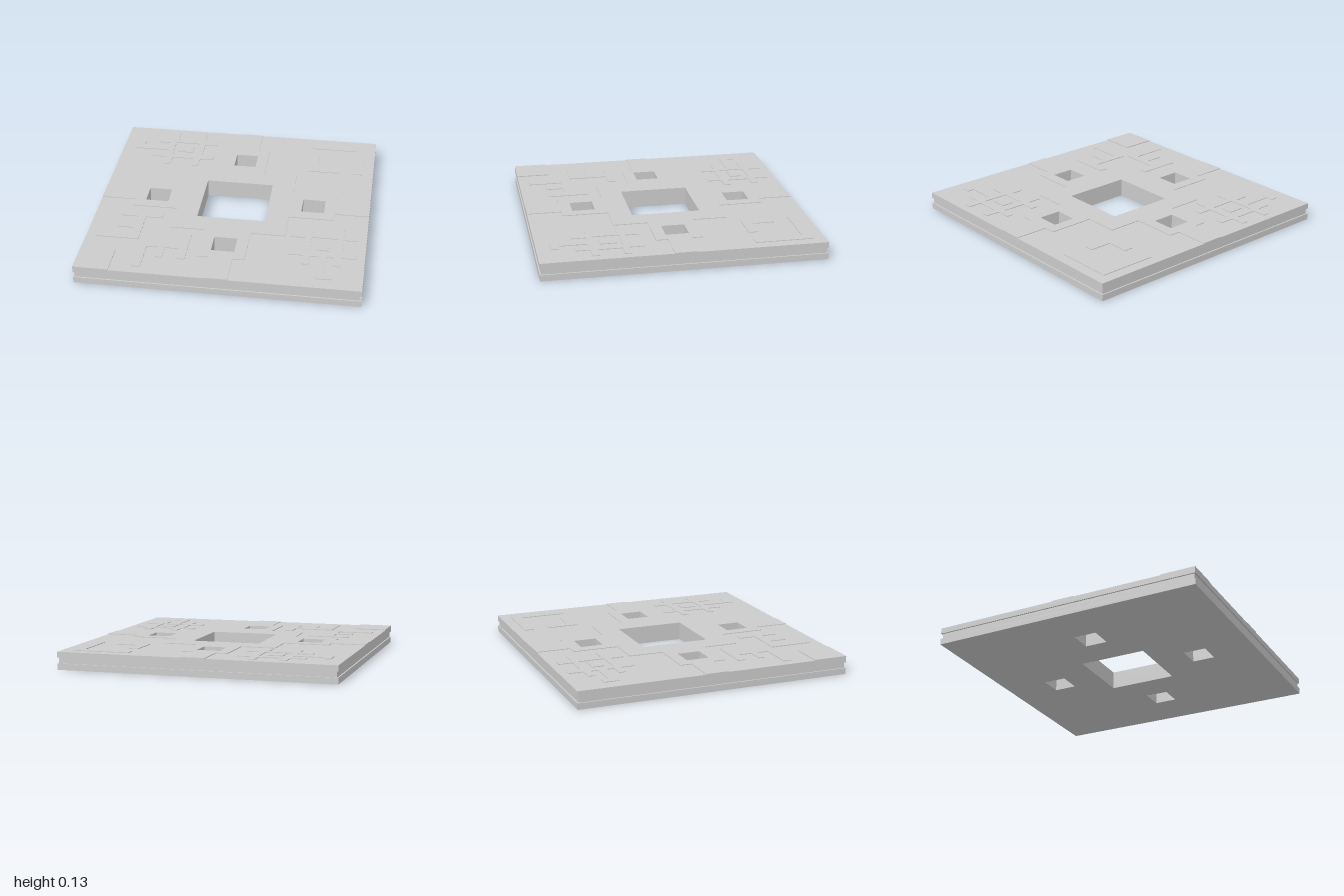
import * as THREE from 'three';

const material = new THREE.MeshStandardMaterial({ color: 0xcccccc, flatShading: true });
const liningMaterial = new THREE.MeshStandardMaterial({ color: 0xcccccc, flatShading: true, side: THREE.DoubleSide });
const U = 1 / 12; // layout module

const points = (list) => list.map(([x, z]) => new THREE.Vector2(x, -z));
const square = (h, cx = 0, cz = 0) => [[cx - h, cz - h], [cx + h, cz - h], [cx + h, cz + h], [cx - h, cz + h]];

// Horizontal slab from an (x, z) outline with holes, between two heights
function slab(name, outline, holes, y0, y1) {
  const shape = new THREE.Shape(points(outline).reverse());
  for (const h of holes) shape.holes.push(new THREE.Path(points(h)));
  const geometry = new THREE.ExtrudeGeometry(shape, { depth: y1 - y0, bevelEnabled: false });
  geometry.rotateX(-Math.PI / 2);
  geometry.translate(0, y0, 0);
  const mesh = new THREE.Mesh(geometry, material);
  mesh.name = name;
  return mesh;
}

// Four smooth walls lining a square opening
function lining(name, half, x, z, height) {
  const r = (half - 0.0005) * Math.SQRT2;
  const geometry = new THREE.CylinderGeometry(r, r, height, 4, 1, true);
  geometry.rotateY(Math.PI / 4);
  geometry.translate(x, height / 2, z);
  const mesh = new THREE.Mesh(geometry, liningMaterial);
  mesh.name = name;
  return mesh;
}

// Group of low raised bars, each [x0, x1, z0, z1]
function relief(name, bars, y0, y1) {
  const group = new THREE.Group();
  group.name = name;
  for (const [x0, x1, z0, z1] of bars) {
    const mesh = new THREE.Mesh(new THREE.BoxGeometry(x1 - x0, y1 - y0, z1 - z0), material);
    mesh.position.set((x0 + x1) / 2, (y0 + y1) / 2, (z0 + z1) / 2);
    mesh.name = 'reliefBar';
    group.add(mesh);
  }
  return group;
}

// Reflection across the diagonal that swaps the two matching quadrants
const mirror = (bars) => bars.map(([x0, x1, z0, z1]) => [-z1, -z0, -x1, -x0]);

export function createModel() {
  const model = new THREE.Group();
  model.name = 'squarePlaza';
  const top = 0.128, raised = 0.133;

  const centres = [[7 * U, 0], [-7 * U, 0], [0, 7 * U], [0, -7 * U]];
  const holes = [square(0.25), ...centres.map(([x, z]) => square(U, x, z))];

  // Three stacked plates, the middle one set back to form a groove
  model.add(slab('lowerPlate', square(1), holes, 0, 0.045));
  model.add(slab('middlePlate', square(0.99), holes, 0.045, 0.086));
  model.add(slab('upperPlate', square(1), holes, 0.086, top));

  // Walls of the openings
  model.add(lining('centreOpeningWalls', 0.25, 0, 0, top));
  for (const [x, z] of centres) model.add(lining('smallOpeningWalls', U, x, z, raised));

  // Raised cross path, stepped around the openings: one arm turned four times
  const arm = [
    [5 * U, -2 * U], [9 * U, -2 * U], [9 * U, -U], [1, -U],
    [1, U], [9 * U, U], [9 * U, 2 * U], [5 * U, 2 * U], [5 * U, 5 * U],
  ];
  const outline = [];
  for (let i = 0; i < 4; i++) {
    const c = Math.round(Math.cos(i * Math.PI / 2)), s = Math.round(Math.sin(i * Math.PI / 2));
    for (const [x, z] of arm) outline.push([x * c - z * s, x * s + z * c]);
  }
  model.add(slab('raisedPath', outline, holes, top, raised));

  // Stepped emblem: central ring, stubs on every side and a long tail
  const cx = -0.5, cz = -0.7, w = 0.045;
  const emblem = [
    [cx - 0.14, cx + 0.14, cz - 0.14, cz - 0.14 + w], [cx - 0.14, cx + 0.14, cz + 0.14 - w, cz + 0.14],
    [cx - 0.14, cx - 0.14 + w, cz - 0.095, cz + 0.095], [cx + 0.14 - w, cx + 0.14, cz - 0.095, cz + 0.095],
    [cx - 0.06, cx + 0.06, cz - 0.045, cz + 0.045],
    [-0.9, cx - 0.14, cz - 0.03, cz + 0.03], [-0.9, -0.84, cz - 0.08, cz - 0.03],
  ];
  for (const s of [-1, 1]) {
    for (const t of [-1, 1]) {
      const a = cx + s * 0.11, b = cz + t * 0.19, c = cx + s * 0.19, d = cz + t * 0.11;
      emblem.push([a - 0.025, a + 0.025, b - 0.05, b + 0.05]);
      emblem.push([c - 0.05, c + 0.05, d - 0.025, d + 0.025]);
    }
  }
  model.add(relief('backEmblem', emblem, top, raised));
  model.add(relief('frontEmblem', mirror(emblem), top, raised));

  // Nested corner brackets in the back left quadrant
  model.add(relief('cornerBrackets', [
    [0.5, 0.92, -0.92, -0.85], [0.85, 0.92, -0.85, -0.5],
    [0.5, 0.73, -0.57, -0.5], [0.5, 0.57, -0.73, -0.57],
  ], top, raised));

  // Branching key pattern in the front right quadrant
  const key = [
    [-0.8, -0.5, 0.25, 0.31], [-0.93, -0.68, 0.54, 0.6],
    [-0.68, -0.62, 0.31, 0.6], [-0.8, -0.68, 0.41, 0.46],
  ];
  model.add(relief('keyPattern', [...key, ...mirror(key)], top, raised));

  // Raised block at the front right corner
  model.add(relief('cornerBlock', [[-1, -0.75, 0.75, 1]], top, 0.134));
  return model;
}
